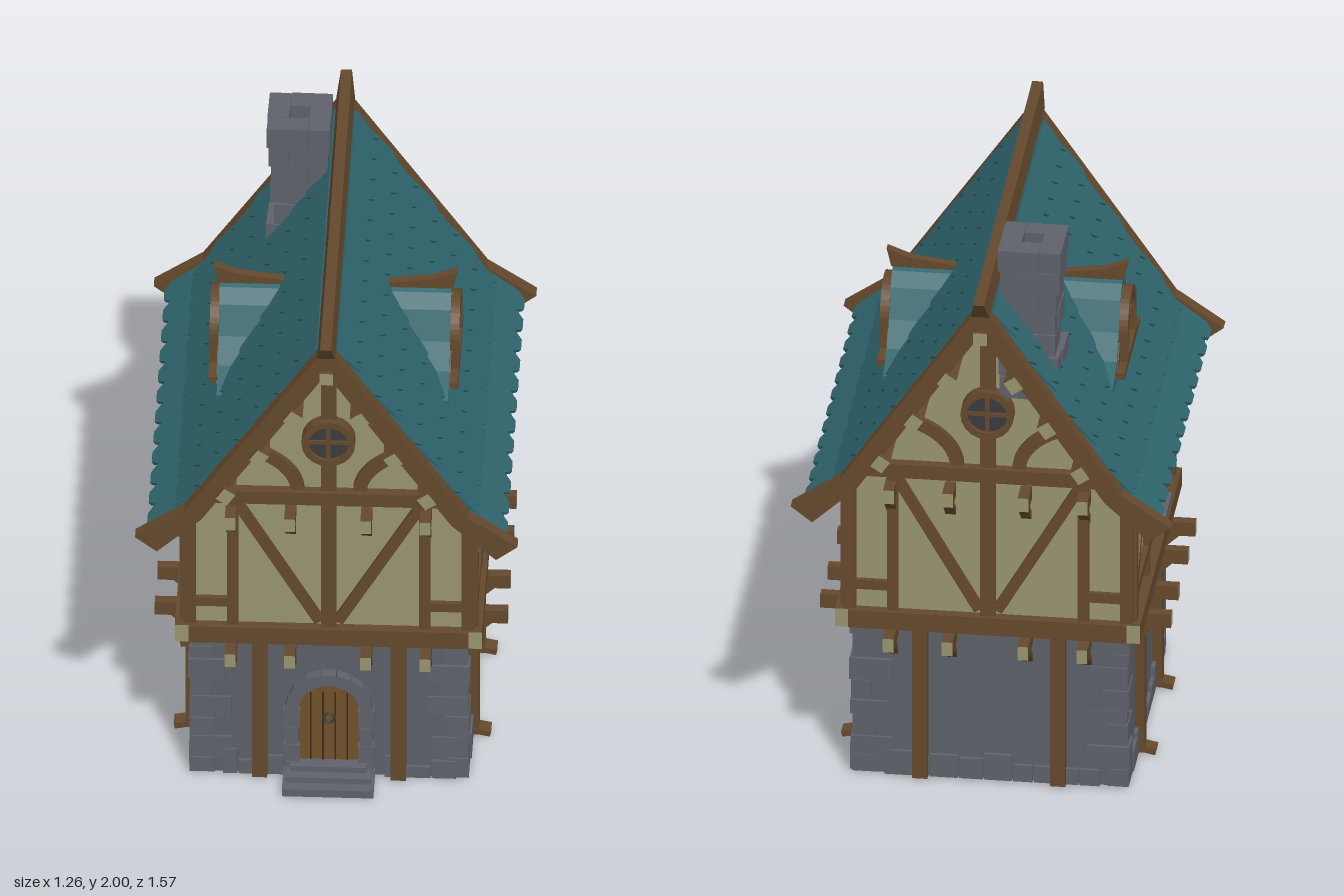
import * as THREE from 'three';

const paint = (name, color, side = THREE.FrontSide) => {
  const m = new THREE.MeshStandardMaterial({ color, side });
  m.name = name;
  return m;
};
const timber = paint('timber', 0x64482c);
const plaster = paint('plaster', 0x98946f);
const stone = paint('stone', 0x5e616a);
const stoneShell = paint('stoneWall', 0x5c5f68, THREE.DoubleSide);
const tile = paint('roofTile', 0x2f656d);
const glass = paint('glass', 0x3a3b3e);
const plank = paint('doorPlank', 0x70502a);
const dark = paint('darkWood', 0x3a2917);
// Timber with pale sawn ends on the box's z faces or x faces
const endsZ = [timber, timber, timber, timber, plaster, plaster];

let seed = 7;
const rnd = (a, b) => {
  seed = (seed * 16807) % 2147483647;
  return a + (b - a) * (seed / 2147483647);
};

function add(g, name, geo, mat, x = 0, y = 0, z = 0, rx = 0, ry = 0, rz = 0) {
  const m = new THREE.Mesh(geo, mat);
  m.name = name;
  m.position.set(x, y, z);
  m.rotation.set(rx, ry, rz);
  g.add(m);
  return m;
}
const box = (g, name, mat, w, h, d, ...at) => add(g, name, new THREE.BoxGeometry(w, h, d), mat, ...at);
// Flat timber between two points of a wall plane
const bar = (g, name, x1, y1, x2, y2, w, t = 0.04, z = 0, mat = timber) =>
  box(g, name, mat, Math.hypot(x2 - x1, y2 - y1), w, t, (x1 + x2) / 2, (y1 + y2) / 2, z, 0, 0, Math.atan2(y2 - y1, x2 - x1));
const poly = pts => new THREE.Shape(pts.map(p => new THREE.Vector2(p[0], p[1])));
const mirrored = half => [...half, ...half.slice().reverse().filter(p => p[0] !== 0).map(p => [-p[0], p[1]])];
const extrude = (s, depth) => new THREE.ExtrudeGeometry(s, { depth, bevelEnabled: false, curveSegments: 10 });
const frame = (parent, name, x, z, ry) => {
  const g = new THREE.Group();
  g.name = name;
  g.position.set(x, 0, z);
  g.rotation.y = ry;
  parent.add(g);
  return g;
};
const arch = (w, y0, ys) => {
  const s = new THREE.Shape();
  s.moveTo(-w, y0);
  s.lineTo(w, y0);
  s.lineTo(w, ys);
  s.absarc(0, ys, w, 0, Math.PI, false);
  s.lineTo(-w, y0);
  return s;
};

function archedWindow(g, w, y0, ys, z) {
  const ring = arch(w, y0, ys);
  ring.holes.push(arch(w - 0.024, y0 + 0.02, ys));
  add(g, 'windowFrame', extrude(ring, 0.03), timber, 0, 0, z);
  add(g, 'windowGlass', extrude(arch(w - 0.02, y0 + 0.01, ys), 0.008), glass, 0, 0, z);
  bar(g, 'mullion', 0, y0, 0, ys + w - 0.01, 0.014, 0.02, z + 0.01);
  bar(g, 'mullion', -w + 0.01, ys, w - 0.01, ys, 0.014, 0.02, z + 0.01);
}

// Row of joist ends with diagonal brackets
function joists(g, y, out) {
  for (const x of [-0.32, -0.125, 0.125, 0.32]) {
    box(g, 'joist', endsZ, 0.036, 0.05, out + 0.05, x, y, out / 2 - 0.025);
    box(g, 'bracket', timber, 0.034, 0.022, 0.12, x, y - 0.05, 0.035, -0.75);
  }
}

function lowerWall(g, half, isFront) {
  joists(g, 0.54, 0.13);
  for (const s of [-1, 1]) box(g, 'lowerPost', timber, 0.05, 0.57, 0.04, s * 0.228, 0.285, 0.012);
  for (let x = -half + 0.1; x < half - 0.1;) {
    const w = rnd(0.05, 0.1), h = rnd(0.04, 0.1);
    if (!isFront || Math.abs(x + w / 2) > 0.17) box(g, 'baseStone', stone, w - 0.004, h, 0.05, x + w / 2, h / 2, -0.012);
    x += w;
  }
}

function doorway(g) {
  add(g, 'door', extrude(arch(0.105, 0.05, 0.28), 0.012), plank, 0, 0, 0.002);
  for (const x of [-0.06, -0.02, 0.02, 0.06]) box(g, 'plankGap', dark, 0.005, 0.28, 0.006, x, 0.2, 0.014);
  add(g, 'doorRing', new THREE.TorusGeometry(0.018, 0.005, 6, 12), glass, 0, 0.24, 0.02);
  // Arch stones
  for (const s of [-1, 1]) for (let i = 0; i < 4; i++)
    box(g, 'jambStone', stone, 0.042 + (i % 2) * 0.012, 0.067, 0.05, s * 0.122, 0.035 + i * 0.07, 0.012);
  for (let i = 0; i < 9; i++) {
    const a = (i + 0.5) * Math.PI / 9;
    box(g, 'archStone', stone, 0.042, 0.046, 0.05, Math.cos(a) * 0.12, 0.28 + Math.sin(a) * 0.12, 0.012, 0, 0, a);
  }
  for (const [w, h, d] of [[0.25, 0.068, 0.06], [0.28, 0.048, 0.095], [0.3, 0.028, 0.135]])
    box(g, 'doorStep', stone, w, h, d, 0, h / 2, d / 2);
}

function gableWall(g) {
  bar(g, 'sillBeam', -0.46, 0.6, 0.46, 0.6, 0.064, 0.06, 0.005);
  bar(g, 'kingPost', 0, 0.6, 0, 1.79, 0.05, 0.04, 0.002);
  bar(g, 'tieBeam', -0.445, 1.16, 0.445, 1.16, 0.05, 0.06, 0.005);
  joists(g, 1.09, 0.09);
  for (const s of [-1, 1]) {
    bar(g, 'cornerPost', s * 0.457, 0.6, s * 0.457, 1.13, 0.04);
    bar(g, 'stud', s * 0.315, 0.6, s * 0.315, 1.14, 0.036);
    bar(g, 'diagonalBrace', s * 0.3, 1.12, s * 0.03, 0.65, 0.036, 0.034);
    bar(g, 'rail', s * 0.315, 0.72, s * 0.46, 0.72, 0.034, 0.034);
    const c = new THREE.Shape();
    c.absellipse(0.35, 1.18, 0.27, 0.195, Math.PI * 0.59, Math.PI, false);
    c.absellipse(0.35, 1.18, 0.225, 0.15, Math.PI, Math.PI * 0.59, true);
    add(g, 'curvedBrace', extrude(c, 0.03), timber, 0, 0, -0.01).scale.x = s;
  }
  // Round window
  add(g, 'roundGlass', new THREE.CylinderGeometry(0.07, 0.07, 0.03, 20), glass, 0, 1.39, 0.015, Math.PI / 2);
  const ring = new THREE.Shape().absarc(0, 0, 0.088, 0, Math.PI * 2);
  ring.holes.push(new THREE.Path().absarc(0, 0, 0.066, 0, Math.PI * 2));
  add(g, 'roundFrame', extrude(ring, 0.05), timber, 0, 1.39, -0.005);
  bar(g, 'mullion', -0.07, 1.39, 0.07, 1.39, 0.014, 0.02, 0.026);
  bar(g, 'mullion', 0, 1.32, 0, 1.46, 0.014, 0.02, 0.026);
}

function eaveWall(g) {
  box(g, 'sillBeam', [plaster, plaster, timber, timber, timber, timber], 1.11, 0.066, 0.045, 0, 0.6, 0.012);
  bar(g, 'rail', -0.52, 0.727, 0.52, 0.727, 0.036);
  for (const s of [-1, 1]) {
    bar(g, 'cornerPost', s * 0.505, 0.6, s * 0.505, 1.14, 0.04);
    bar(g, 'stud', s * 0.188, 0.6, s * 0.188, 1.14, 0.036);
    bar(g, 'diagonalBrace', s * 0.47, 0.745, s * 0.2, 1.09, 0.036, 0.034);
  }
  archedWindow(g, 0.105, 0.76, 0.86, -0.006);
  box(g, 'windowSill', stone, 0.26, 0.024, 0.07, 0, 0.757, 0.02);
}

function dormer(g) {
  const bell = mirrored([[0.27, 1.335], [0.27, 1.357], [0.17, 1.405], [0.115, 1.485], [0.07, 1.58], [0.03, 1.622], [0, 1.635]]);
  add(g, 'dormerRoof', extrude(poly(bell), 0.27), tile, 0, 0, 0.11);
  const face = mirrored([[0.21, 1.362], [0.15, 1.4], [0.105, 1.47], [0.07, 1.565], [0, 1.605]]);
  add(g, 'dormerFace', extrude(poly(face), 0.006), timber, 0, 0, 0.378);
  archedWindow(g, 0.118, 1.37, 1.475, 0.38);
  bar(g, 'dormerSill', -0.2, 1.368, 0.2, 1.368, 0.022, 0.04, 0.39);
  // Ridge sweeping up toward the front
  const sweep = poly([[0.17, 1.61], [0.385, 1.63], [0.4, 1.695], [0.32, 1.665], [0.17, 1.645]]);
  add(g, 'dormerRidge', extrude(sweep, 0.03), timber, 0.015, 0, 0, 0, -Math.PI / 2).position.x = 0.015;
}

function roofSide(g) {
  // Overlapping courses with notched lower edges
  const n = 12, w = 1.36 / n;
  for (let r = 0; r < 8; r++) {
    const a = r ? 0.969 : 0.72;
    const x = r ? 0.485 - (r - 1) * 0.0655 : 0.575, y = r ? 1.152 + (r - 1) * 0.0954 : 1.085;
    const top = r === 7 ? 0.125 : 0.17;
    const pts = [[0.68, top], [-0.68, top]];
    for (let i = 0; i <= n; i++) {
      const u = -0.68 + (i - (r % 2 ? 0.5 : 0)) * w;
      for (const [k, v] of [[0, 0.03], [0.25, 0], [0.75, 0], [1, 0.03]]) {
        const p = u + k * w;
        if (p >= -0.6801 && p <= 0.6801 && (k < 1 || i === n)) pts.push([p, v]);
      }
    }
    const m = add(g, 'tileCourse', extrude(poly(pts), 0.012), tile);
    const t = a - 0.07;
    const lift = 0.014;
    m.matrixAutoUpdate = true;
    const basis = new THREE.Matrix4().makeBasis(
      new THREE.Vector3(0, 0, -1),
      new THREE.Vector3(-Math.cos(t), Math.sin(t), 0),
      new THREE.Vector3(Math.sin(t), Math.cos(t), 0));
    m.quaternion.setFromRotationMatrix(basis);
    m.position.set(x + Math.sin(a) * lift, y + Math.cos(a) * lift, 0);
  }
  // Purlin ends under the overhang
  for (const x of [0.11, 0.22, 0.33]) for (const s of [-1, 1])
    box(g, 'purlin', endsZ, 0.05, 0.045, 0.25, x, 1.765 - 1.456 * x, s * 0.617, 0, 0, -0.969);
}

function chimney(g) {
  [0.1, 0.098, 0.088, 0.082, 0.09, 0.098, 0.104].forEach((h, i) => {
    const c = frame(g, 'chimneyCourse', -0.135 + rnd(-0.008, 0.004), -0.437, rnd(-0.05, 0.05));
    const hole = 0.034, len = h + hole, t = h - hole;
    for (let k = 0; k < 4; k++) {
      const b = frame(c, 'chimneySide', 0, 0, k * Math.PI / 2);
      box(b, 'chimneyStone', stone, len - 0.003, 0.076, t + rnd(0, 0.012), (h - hole) / 2 * (i % 2 ? 1 : -1), 1.488 + i * 0.0785, hole + t / 2);
    }
  });
}

export function createModel() {
  const model = new THREE.Group();
  model.name = 'timberHouse';
  const PI = Math.PI;

  // Ground floor shell, open below
  for (const [x, z, ry, w] of [[0, 0.5, 0, 0.9], [0, -0.48, PI, 0.9], [0.45, 0.01, PI / 2, 0.98], [-0.45, 0.01, -PI / 2, 0.98]])
    add(model, 'stoneWall', new THREE.PlaneGeometry(w, 0.57), stoneShell, x, 0.285, z, 0, ry);
  const front = frame(model, 'frontGround', 0, 0.5, 0);
  lowerWall(front, 0.45, true);
  doorway(front);
  lowerWall(frame(model, 'backGround', 0, -0.48, PI), 0.45);
  for (const s of [-1, 1]) {
    const side = frame(model, 'sideGround', s * 0.45, 0.01, s * PI / 2);
    lowerWall(side, 0.49);
    for (const k of [-1, 1]) box(side, 'postFoot', timber, 0.055, 0.02, 0.08, k * 0.228, 0.012, 0.03, 0.2);
    // Corner stones, long and short in turn
    for (const [z, d] of [[0.5, 1], [-0.48, -1]]) {
      for (let y = 0, i = 0; y < 0.54; i++) {
        const h = Math.min(rnd(0.045, 0.09), 0.56 - y), o = rnd(0.004, 0.014);
        const lx = (i % 2 ? 0.115 : 0.065) + rnd(0, 0.03), lz = (i % 2 ? 0.06 : 0.11) + rnd(0, 0.03);
        box(model, 'cornerStone', stone, lx, h - 0.004, lz, s * (0.45 + o - lx / 2), y + h / 2, z + d * (o - lz / 2));
        y += h;
      }
    }
  }

  // Upper floor with gables
  const body = mirrored([[0.47, 0.565], [0.47, 1.11], [0, 1.79]]);
  add(model, 'plasterWalls', extrude(poly(body), 1.05), plaster, 0, 0, -0.515);
  gableWall(frame(model, 'frontGable', 0, 0.535, 0));
  gableWall(frame(model, 'backGable', 0, -0.515, PI));

  // Roof slab, verge boards and ridge
  const slab = poly([[0, 1.85], [-0.467, 1.17], [-0.575, 1.085], [-0.55, 1.062], [-0.44, 1.145], [0, 1.79], [0.44, 1.145], [0.55, 1.062], [0.575, 1.085], [0.467, 1.17]]);
  add(model, 'roofSlab', extrude(slab, 1.36), tile, 0, 0, -0.68);
  const verge = poly([[0, 1.89], [-0.467, 1.21], [-0.628, 1.1], [-0.557, 1.045], [-0.41, 1.18], [0, 1.78], [0.41, 1.18], [0.557, 1.045], [0.628, 1.1], [0.467, 1.21]]);
  for (const z of [0.677, -0.725]) add(model, 'vergeBoard', extrude(verge, 0.048), timber, 0, 0, z);
  const ridge = new THREE.BoxGeometry(0.06, 0.07, 1.57);
  const p = ridge.attributes.position;
  for (let i = 0; i < p.count; i++) {
    if (p.getY(i) > 0) p.setX(i, p.getX(i) * 0.6);
    else p.setZ(i, p.getZ(i) * 0.935);
  }
  ridge.computeVertexNormals();
  add(model, 'ridgeBeam', ridge, timber, 0, 1.885, 0);
  box(model, 'ridgePurlin', endsZ, 0.045, 0.045, 1.48, 0, 1.77, 0);

  for (const s of [-1, 1]) {
    eaveWall(frame(model, 'eaveWall', s * 0.47, 0.01, s * PI / 2));
    dormer(frame(model, 'dormer', 0, 0.005, s * PI / 2));
    roofSide(frame(model, 'roofSide', 0, 0, s > 0 ? 0 : PI));
  }
  chimney(frame(model, 'chimney', 0, 0, 0));
  return model;
}
